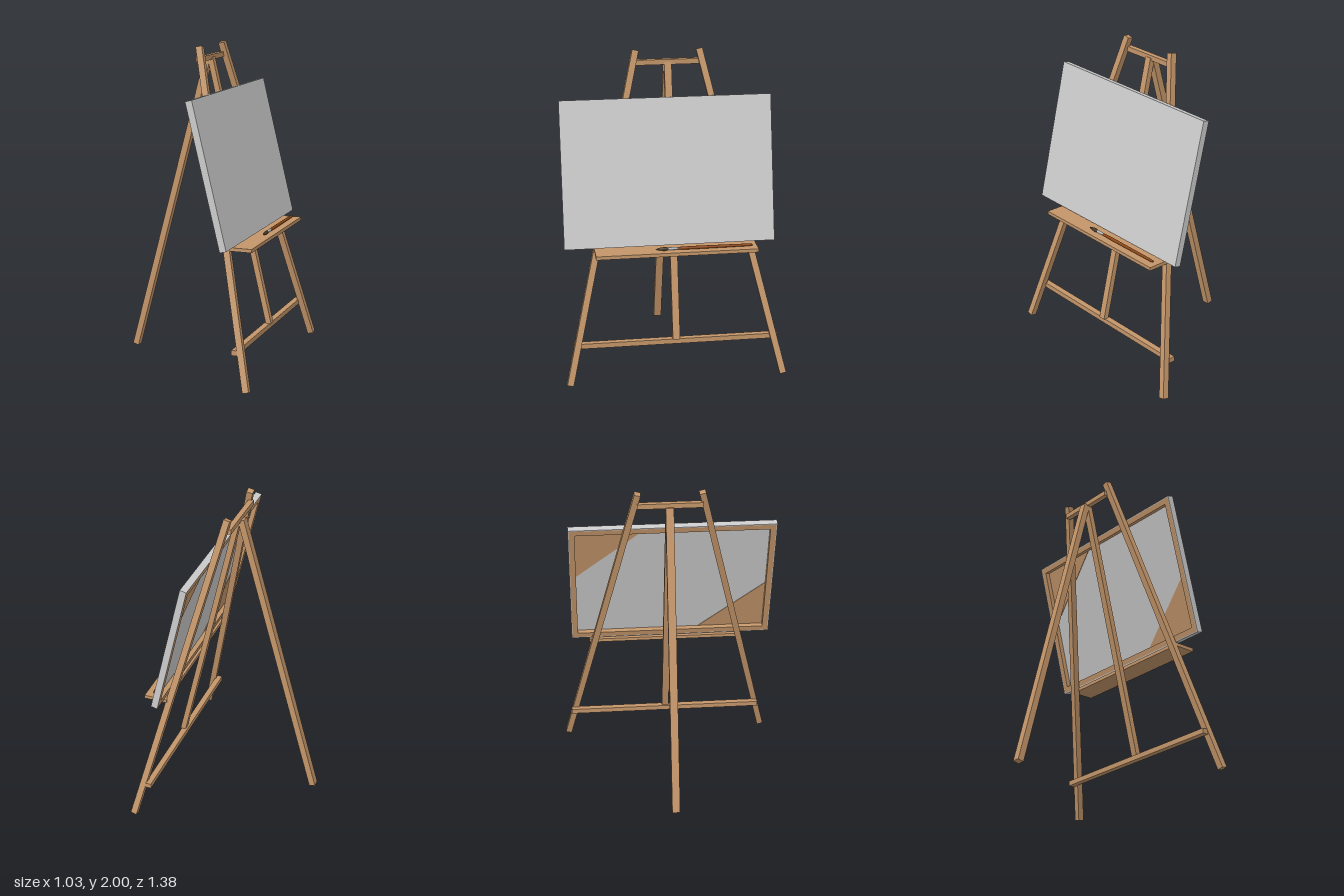
import * as THREE from 'three';

const mat = (color) => new THREE.MeshStandardMaterial({ color });
const wood = mat(0xc4966a);
const grey = mat(0xcccccc);
const V = (x, y, z) => new THREE.Vector3(x, y, z);

function add(parent, name, geometry, material) {
  const mesh = new THREE.Mesh(geometry, material);
  mesh.name = name;
  parent.add(mesh);
  return mesh;
}

// Axis-aligned box given by its centre and size
function box(parent, name, [x, y, z], size, material = wood) {
  const mesh = add(parent, name, new THREE.BoxGeometry(...size), material);
  mesh.position.set(x, y, z);
  return mesh;
}

// Square timber running from a to b, its depth kept facing along x
function beam(parent, name, a, b, depth, width) {
  const dir = b.clone().sub(a);
  const mesh = add(parent, name, new THREE.BoxGeometry(depth, dir.length(), width), wood);
  const yAxis = dir.normalize();
  const zAxis = V(1, 0, 0).cross(yAxis).normalize();
  const xAxis = yAxis.clone().cross(zAxis);
  mesh.quaternion.setFromRotationMatrix(new THREE.Matrix4().makeBasis(xAxis, yAxis, zAxis));
  mesh.position.copy(a).add(b).multiplyScalar(0.5);
  return mesh;
}

// Stretched canvas, built upright facing +x and then leaned back
function createCanvas() {
  const canvas = new THREE.Group();
  canvas.name = 'canvas';
  const h = 0.9, w = 1.295, t = 0.042, rim = 0.006, bar = 0.035;
  box(canvas, 'canvasFront', [t / 2 - 0.005, 0, 0], [0.01, h, w], grey);
  for (const s of [-1, 1]) {
    // cloth wrapped over the edges
    box(canvas, 'canvasEdge', [-0.005, s * (h - rim) / 2, 0], [t - 0.01, rim, w], grey);
    box(canvas, 'canvasSide', [-0.005, 0, s * (w - rim) / 2], [t - 0.01, h - 2 * rim, rim], grey);
    // wooden stretcher bars
    box(canvas, 'stretcherRail', [-0.006, s * (h / 2 - rim - bar / 2), 0], [t - 0.012, bar, w - 2 * rim]);
    box(canvas, 'stretcherStile', [-0.006, 0, s * (w / 2 - rim - bar / 2)], [t - 0.012, h - 2 * rim - 2 * bar, bar]);
    // thin corner panels at opposite corners, against the cloth
    const cy = -s * (h / 2 - rim), cz = s * (w / 2 - rim);
    const corner = new THREE.Shape([
      new THREE.Vector2(-cz, cy),
      new THREE.Vector2(-cz + s * 0.5, cy),
      new THREE.Vector2(-cz, cy + s * 0.42),
    ]);
    const geo = new THREE.ExtrudeGeometry(corner, { depth: 0.003, bevelEnabled: false });
    geo.rotateY(Math.PI / 2).translate(0.008, 0, 0);
    add(canvas, 'cornerPanel', geo, wood);
  }
  canvas.rotation.z = Math.atan(0.244);
  canvas.position.set(0.241, 1.286, 0.027);
  return canvas;
}

// Paintbrush lying along z on the tray
function createBrush() {
  const brush = new THREE.Group();
  brush.name = 'paintbrush';
  const turned = (name, points, color) => {
    const geo = new THREE.LatheGeometry(points.map(([r, y]) => new THREE.Vector2(r, y)), 12);
    add(brush, name, geo.rotateX(Math.PI / 2), mat(color));
  };
  turned('brushHandle', [[0, -0.475], [0.005, -0.472], [0.008, -0.455], [0.009, -0.3], [0.01, -0.1], [0.008, -0.01]], 0x8b4513);
  turned('brushFerrule', [[0.008, -0.01], [0.009, 0.045]], 0xb8bcc0);
  turned('brushBristles', [[0.008, 0.045], [0.012, 0.07], [0.009, 0.095], [0.004, 0.115], [0, 0.126]], 0x4a3a28);
  brush.position.set(0.41, 0.846, 0);
  return brush;
}

export function createModel() {
  const easel = new THREE.Group();
  easel.name = 'easel';

  // Splayed front legs and the single rear leg
  for (const s of [-1, 1]) {
    beam(easel, 'frontLeg', V(0.495, 0.01, s * 0.667), V(0.02, 1.992, s * 0.196), 0.04, 0.04);
  }
  beam(easel, 'rearLeg', V(-0.5, 0.015, -0.004), V(0, 1.905, -0.004), 0.04, 0.05);

  // Centre strut and the crossbars it joins
  beam(easel, 'centreStrut', V(0.415, 0.245, -0.003), V(0.02, 1.912, -0.003), 0.035, 0.045);
  box(easel, 'topCrossbar', [0.015, 1.915, 0], [0.033, 0.032, 0.4]);
  box(easel, 'lowerCrossbar', [0.404, 0.233, -0.005], [0.038, 0.032, 1.27]);

  // Tray that carries the canvas and the brush
  box(easel, 'tray', [0.388, 0.825, -0.007], [0.146, 0.022, 0.995]);
  easel.add(createCanvas(), createBrush());
  return easel;
}
